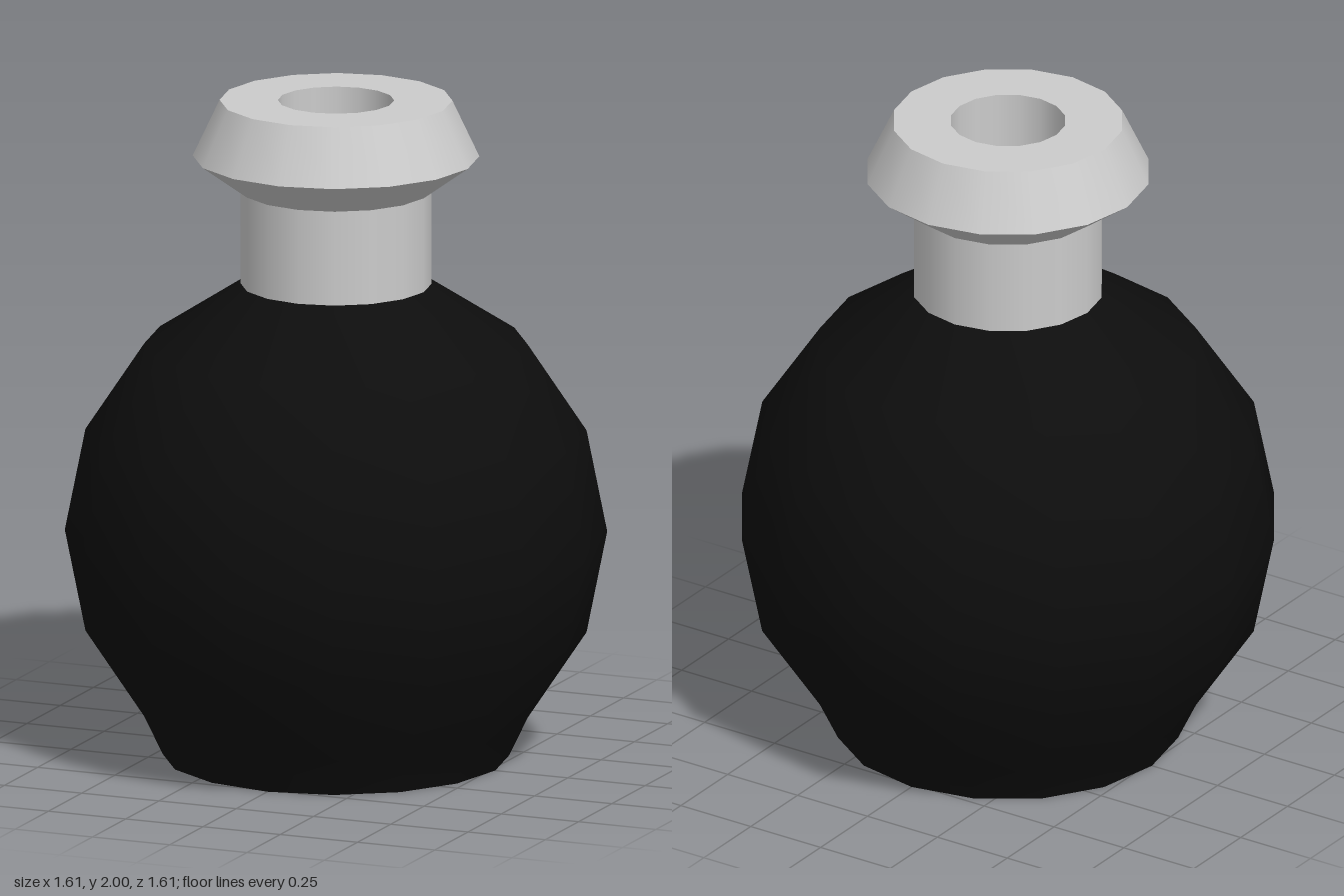
import * as THREE from 'three';

const SIDES = 16;
const grey = new THREE.MeshStandardMaterial({ color: 0xcccccc });
const black = new THREE.MeshStandardMaterial({ color: 0x0d0d0d });

// Surface of revolution; the profile runs bottom to top on the outside, then down inside
function lathe(name, profile, material) {
  const points = profile.map(([r, y]) => new THREE.Vector2(r, y));
  const mesh = new THREE.Mesh(new THREE.LatheGeometry(points, SIDES), material);
  mesh.name = name;
  return mesh;
}

export function createModel() {
  const flask = new THREE.Group();
  flask.name = 'flask';

  // Round body: a sphere cut flat at the foot and at the neck
  const radius = 0.806, centre = 0.685;
  const body = [[0.515, 0]];
  for (let i = -2; i <= 2; i++) {
    const a = (i * Math.PI) / 8;
    body.push([radius * Math.cos(a), centre + radius * Math.sin(a)]);
  }
  body.push([0.284, 1.44]);
  flask.add(lathe('body', body, black));
  flask.add(lathe('base', [[0, 0], [0.515, 0]], grey));

  // Neck and flared lip, one band per piece so the rims stay sharp
  flask.add(lathe('neck', [[0.284, 1.435], [0.284, 1.727]], grey));
  const lip = new THREE.Group();
  lip.name = 'lip';
  lip.add(
    lathe('lipUnderside', [[0.284, 1.727], [0.426, 1.83]], grey),
    lathe('lipSide', [[0.426, 1.83], [0.346, 2]], grey),
    lathe('lipTop', [[0.346, 2], [0.173, 2]], grey),
  );
  flask.add(lip);

  // Bore down through the neck
  flask.add(lathe('boreWall', [[0.173, 2], [0.173, 1.44]], grey));
  flask.add(lathe('boreFloor', [[0.173, 1.44], [0, 1.44]], grey));

  return flask;
}
